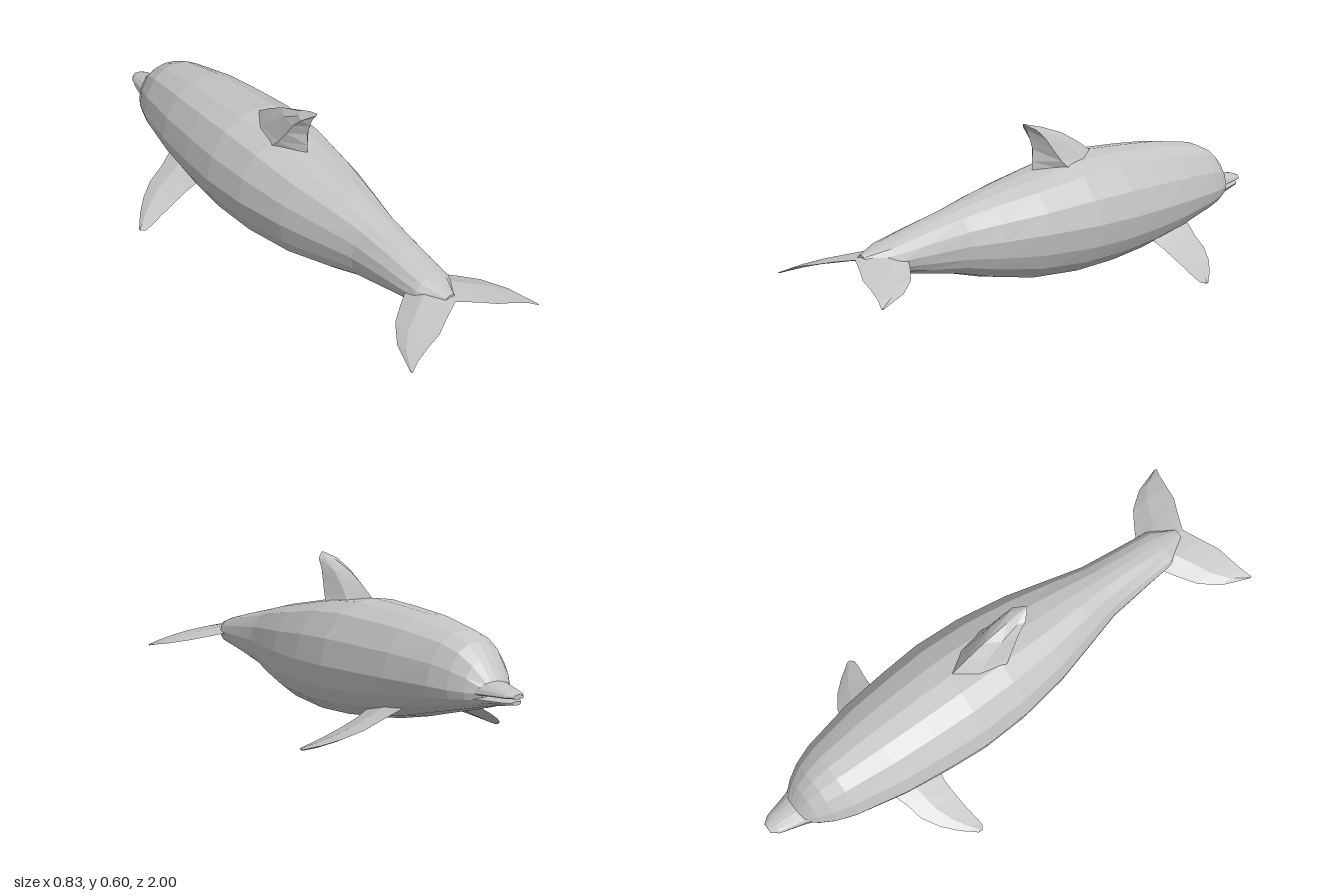
import * as THREE from 'three';

const skin = new THREE.MeshStandardMaterial({ color: 0xc4c4c4, flatShading: true });
skin.name = 'grey skin';

// Closed skin over a list of equal-length rings, capped at both ends.
function loft(name, rings) {
  const n = rings[0].length, pos = rings.flat(2), idx = [];
  for (let r = 0; r < rings.length - 1; r++) {
    for (let i = 0; i < n; i++) {
      const j = (i + 1) % n, a = r * n + i, b = r * n + j;
      idx.push(a, b, b + n, a, b + n, a + n);
    }
  }
  const last = (rings.length - 1) * n;
  for (let i = 1; i < n - 1; i++) {
    idx.push(0, i + 1, i, last, last + i, last + i + 1);
  }
  // turn the faces outward if the rings run the other way
  let volume = 0;
  const p = [0, 1, 2].map(() => new THREE.Vector3());
  for (let i = 0; i < idx.length; i += 3) {
    p.forEach((v, k) => v.fromArray(pos, idx[i + k] * 3));
    volume += p[0].dot(p[1].clone().cross(p[2]));
  }
  if (volume < 0) idx.reverse();
  const geo = new THREE.BufferGeometry();
  geo.setAttribute('position', new THREE.Float32BufferAttribute(pos, 3));
  geo.setIndex(idx);
  const flat = geo.toNonIndexed();
  flat.computeVertexNormals();
  const mesh = new THREE.Mesh(flat, skin);
  mesh.name = name;
  return mesh;
}

// Half outline of the trunk from back to belly, in unit size.
const half = [[0, 1], [0.32, 0.96], [0.64, 0.8], [0.9, 0.42], [1, 0], [0.93, -0.4], [0.79, -0.68], [0.48, -0.91], [0, -1]];
const outline = [...half, ...half.slice(1, -1).reverse().map(([x, y]) => [-x, y])];

// Ring across z from back height, belly height, widest height and half width.
const bodyRing = ([z, top, bottom, mid, w]) =>
  outline.map(([x, y]) => [x * w, mid + y * (y > 0 ? top - mid : mid - bottom), z]);

// Four-sided blade section at x, sharp at the front and back edges.
const bladeRing = ([x, lead, trail, y, thick, drop = 0]) => {
  const m = lead + (trail - lead) * 0.4;
  return [[x, y + drop, lead], [x, y + thick, m], [x, y - drop, trail], [x, y - thick, m]];
};

export function createModel() {
  const model = new THREE.Group();
  model.name = 'dolphin';

  // trunk, from the forehead to the tail stock
  model.add(loft('body', [
    [-0.885, 0.27, 0.19, 0.235, 0.055],
    [-0.84, 0.34, 0.178, 0.237, 0.095],
    [-0.79, 0.385, 0.165, 0.24, 0.125],
    [-0.72, 0.415, 0.148, 0.245, 0.152],
    [-0.53, 0.445, 0.1, 0.248, 0.193],
    [-0.36, 0.457, 0.065, 0.248, 0.213],
    [-0.2, 0.465, 0.048, 0.247, 0.226],
    [-0.02, 0.452, 0.04, 0.245, 0.218],
    [0.18, 0.415, 0.052, 0.243, 0.187],
    [0.35, 0.385, 0.088, 0.24, 0.142],
    [0.48, 0.355, 0.125, 0.24, 0.108],
    [0.64, 0.32, 0.158, 0.238, 0.092],
    [0.77, 0.288, 0.185, 0.236, 0.08],
    [0.86, 0.262, 0.215, 0.235, 0.025],
  ].map(bodyRing)));

  // beak in two halves with a narrow mouth line
  model.add(loft('upperJaw', [
    [-0.82, 0.29, 0.222, 0.235, 0.088],
    [-0.88, 0.272, 0.226, 0.235, 0.066],
    [-0.975, 0.254, 0.23, 0.236, 0.04],
    [-1, 0.246, 0.231, 0.236, 0.02],
  ].map(bodyRing)));
  model.add(loft('lowerJaw', [
    [-0.82, 0.228, 0.174, 0.216, 0.088],
    [-0.88, 0.227, 0.19, 0.217, 0.064],
    [-0.965, 0.225, 0.206, 0.218, 0.038],
    [-0.99, 0.222, 0.21, 0.218, 0.018],
  ].map(bodyRing)));

  // dorsal fin: level sections of y, front z, widest z, rear z, half width
  model.add(loft('dorsalFin', [
    [0.42, -0.24, -0.02, 0.1, 0.085],
    [0.46, -0.19, 0.02, 0.1, 0.068],
    [0.505, -0.12, 0.05, 0.098, 0.055],
    [0.545, -0.045, 0.075, 0.112, 0.045],
    [0.58, 0.055, 0.11, 0.128, 0.035],
    [0.6, 0.135, 0.14, 0.145, 0.004],
  ].map(([y, front, wide, rear, w]) => [
    [0, y, front], [w * 0.75, y, front * 0.55 + wide * 0.45], [w, y, wide], [0, y, rear],
    [-w, y, wide], [-w * 0.75, y, front * 0.55 + wide * 0.45],
  ])));

  // pectoral fins
  for (const [side, name] of [[1, 'leftFlipper'], [-1, 'rightFlipper']]) {
    model.add(loft(name, [
      [0.14, -0.57, -0.37, 0.132, 0.018, 0.014],
      [0.2, -0.545, -0.378, 0.1, 0.016, 0.012],
      [0.26, -0.53, -0.374, 0.071, 0.014, 0.01],
      [0.32, -0.49, -0.368, 0.044, 0.012, 0.007],
      [0.37, -0.44, -0.359, 0.022, 0.009, 0.004],
      [0.4, -0.4, -0.357, 0.01, 0.006, 0.002],
      [0.413, -0.385, -0.368, 0.007, 0.004, 0],
    ].map(([x, ...rest]) => bladeRing([x * side, ...rest]))));
  }

  // tail flukes, one blade from tip to tip
  const fluke = [
    [0, 0.7, 0.885, 0.25, 0.018],
    [0.07, 0.72, 0.92, 0.236, 0.015],
    [0.13, 0.76, 0.953, 0.221, 0.012],
    [0.19, 0.805, 0.967, 0.206, 0.009],
    [0.245, 0.88, 0.982, 0.188, 0.006],
    [0.282, 0.985, 0.998, 0.17, 0.002],
  ];
  const mirrored = fluke.slice(1).reverse().map(([x, ...rest]) => [-x, ...rest]);
  model.add(loft('tailFlukes', [...mirrored, ...fluke].map(bladeRing)));

  return model;
}
